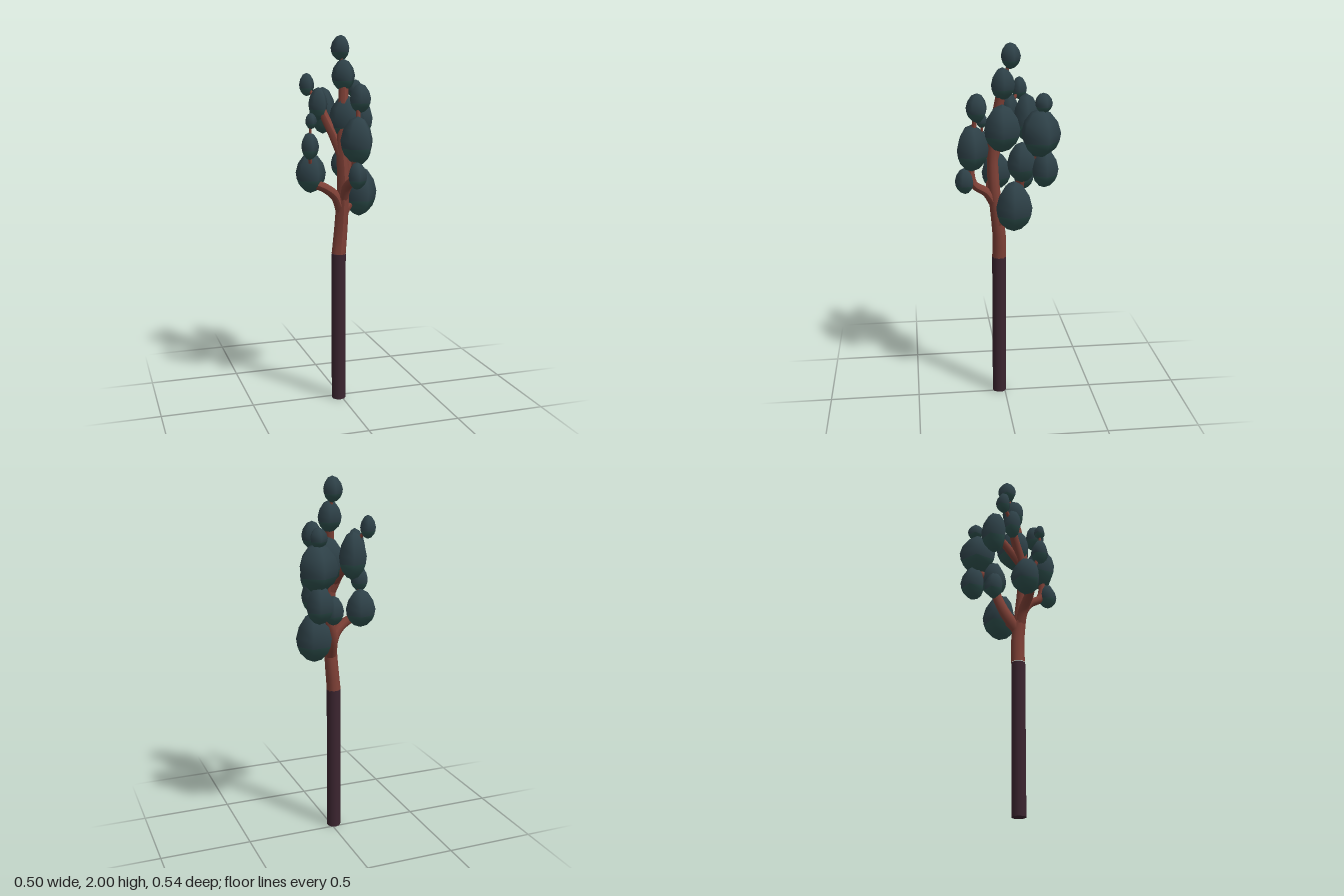
import * as THREE from 'three';

const flat = (name, color) => {
  const m = new THREE.MeshStandardMaterial({ color });
  m.name = name;
  return m;
};

export function createModel() {
  const tree = new THREE.Group();
  tree.name = 'tree';
  const darkBark = flat('dark bark', 0x3c2530);
  const redBark = flat('red bark', 0x7e4036);
  const leafTop = flat('dark leaf', 0x2e4148);
  const leafUnder = flat('teal leaf', 0x2f524f);

  function add(parent, name, geometry, material) {
    const mesh = new THREE.Mesh(geometry, material);
    mesh.name = name;
    parent.add(mesh);
    return mesh;
  }

  // Tapered limb along a smooth curve
  function limb(name, points, r0, r1) {
    const curve = new THREE.CatmullRomCurve3(points.map(p => new THREE.Vector3(...p)));
    const steps = 14, sides = 9;
    const geo = new THREE.TubeGeometry(curve, steps, 1, sides, false);
    const pos = geo.attributes.position, v = new THREE.Vector3();
    for (let i = 0; i < pos.count; i++) {
      const t = Math.floor(i / (sides + 1)) / steps;
      const c = curve.getPointAt(t);
      v.fromBufferAttribute(pos, i).sub(c).multiplyScalar(r0 + (r1 - r0) * t).add(c);
      pos.setXYZ(i, v.x, v.y, v.z);
    }
    geo.computeVertexNormals();
    add(tree, name, geo, redBark);
  }

  // Trunk: dark lower part, red upper part
  const lower = add(tree, 'lowerTrunk', new THREE.CylinderGeometry(0.039, 0.039, 0.83, 10), darkBark);
  lower.position.set(-0.016, 0.415, 0.03);
  limb('upperTrunk', [[-0.016, 0.83, 0.03], [-0.005, 0.95, 0.03], [0.0, 1.1, 0.045],
    [0.0, 1.25, 0.06], [-0.01, 1.4, 0.065], [0.0, 1.55, 0.055], [0.015, 1.75, 0.02]], 0.039, 0.025);

  // Branches
  limb('rightBranch', [[0, 1.05, 0.04], [-0.04, 1.15, 0.055], [-0.1, 1.2, 0.066], [-0.17, 1.23, 0.06]], 0.03, 0.024);
  limb('upperRightBranch', [[-0.01, 1.38, 0.065], [-0.045, 1.48, 0.03], [-0.08, 1.57, -0.01], [-0.105, 1.64, -0.03]], 0.03, 0.022);
  limb('upperBackBranch', [[-0.02, 1.42, 0.06], [-0.04, 1.5, -0.02], [-0.06, 1.6, -0.12]], 0.026, 0.02);
  limb('frontBranch', [[0, 1.13, 0.05], [0.01, 1.21, 0.1], [0.02, 1.26, 0.17], [0.03, 1.4, 0.19]], 0.028, 0.018);
  limb('backBranch', [[0, 1.03, 0.035], [0.02, 1.13, -0.03], [0.05, 1.24, -0.07], [0.1, 1.36, -0.09], [0.15, 1.45, -0.16]], 0.034, 0.02);
  limb('leftBranch', [[0, 1.03, 0.03], [0.05, 1.09, 0], [0.12, 1.14, -0.03]], 0.024, 0.02);

  // Twigs linking stacked leaf clumps
  limb('topTwig', [[0.015, 1.78, 0.01], [0.015, 1.93, -0.026]], 0.012, 0.008);
  limb('frontTwig', [[0.04, 1.48, 0.18], [0.055, 1.67, 0.155]], 0.016, 0.01);
  limb('sideTwig', [[-0.175, 1.28, 0.05], [-0.195, 1.42, 0.1], [-0.19, 1.56, 0.105]], 0.012, 0.006);
  limb('smallTwig', [[-0.105, 1.64, -0.03], [-0.155, 1.73, -0.095]], 0.012, 0.008);

  // Five-sided leaf clump, split into a dark crown and a teal underside
  const topProfile = [[0.93, -0.33], [1, 0], [0.84, 0.45], [0.47, 0.85], [0, 1]];
  const underProfile = [[0, -1], [0.42, -0.88], [0.78, -0.6], [0.93, -0.33]];
  const lathe = pts => new THREE.LatheGeometry(pts.map(p => new THREE.Vector2(...p)), 5);
  const topGeo = lathe(topProfile), underGeo = lathe(underProfile);

  // x, y, z, radius, half height, turn
  const clumps = [
    [0.015, 1.932, -0.026, 0.055, 0.068, 3.14],
    [0.016, 1.79, 0.015, 0.066, 0.085, 2.9],
    [-0.157, 1.74, -0.095, 0.043, 0.062, 2.78],
    [-0.11, 1.64, -0.03, 0.054, 0.088, 3.0],
    [0.15, 1.555, -0.165, 0.109, 0.127, 3.14],
    [0.15, 1.71, -0.18, 0.048, 0.053, 3.14],
    [0.04, 1.46, 0.18, 0.09, 0.125, 3.0],
    [0.062, 1.675, 0.152, 0.058, 0.077, 2.3],
    [0.025, 1.28, 0.217, 0.053, 0.072, 0],
    [0.122, 1.16, -0.035, 0.1, 0.138, 1.5],
    [-0.173, 1.28, 0.03, 0.085, 0.107, 2.8],
    [-0.197, 1.43, 0.102, 0.05, 0.072, 2.63],
    [-0.19, 1.56, 0.105, 0.032, 0.042, 2.7],
    [0.148, 1.37, -0.19, 0.073, 0.103, 2.9],
    [0.125, 1.4, -0.075, 0.078, 0.108, 2.6],
    [0.03, 1.56, 0.02, 0.1, 0.127, 1.57],
    [-0.06, 1.6, -0.12, 0.076, 0.127, 2.87],
    [0.035, 1.31, -0.095, 0.056, 0.08, 2.9],
  ];
  clumps.forEach(([x, y, z, r, h, turn], i) => {
    const clump = new THREE.Group();
    clump.name = `leafClump${i + 1}`;
    clump.position.set(x, y, z);
    clump.scale.set(r, h, r);
    clump.rotation.y = turn;
    add(clump, 'leafCrown', topGeo, leafTop);
    add(clump, 'leafUnderside', underGeo, leafUnder);
    tree.add(clump);
  });

  return tree;
}
